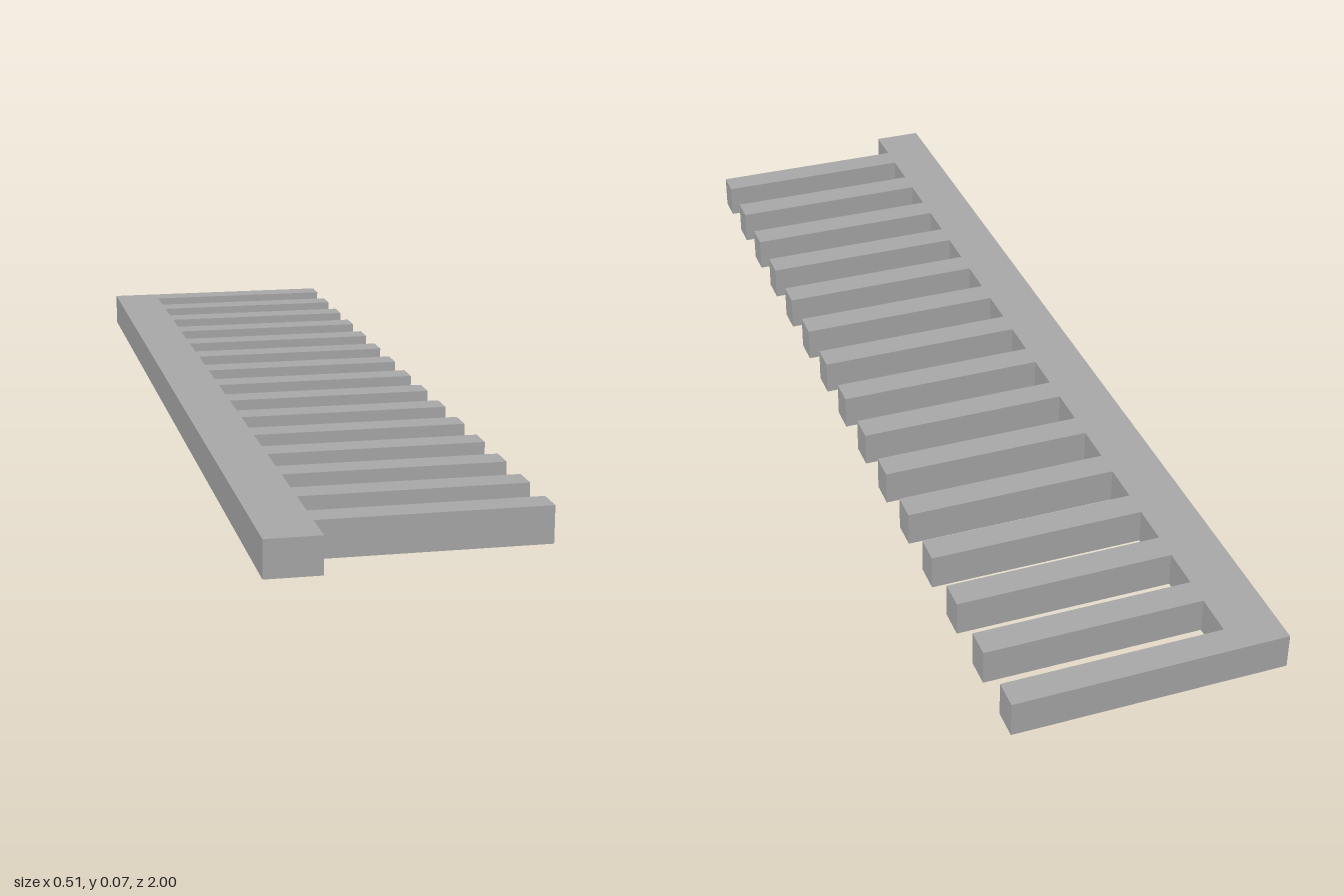
import * as THREE from 'three';

const HEIGHT = 0.0667;
const HALF_WIDTH = 0.2533; // outer x of spine and tooth tips
const SPINE_EDGE = -0.1545; // x where the teeth meet the spine
const TEETH = 15;
const PITCH = 2 / TEETH;
const TOOTH = PITCH * 0.4;

export function createModel() {
  const grey = new THREE.MeshStandardMaterial({ color: 0xaaaaaa });
  grey.name = 'grey';

  // Comb outline, seen from above (shape y points to the back, -z)
  const outline = new THREE.Shape();
  outline.moveTo(-HALF_WIDTH, -1);
  outline.lineTo(-HALF_WIDTH, 1);
  for (let i = 0; i < TEETH; i++) {
    const back = 1 - i * PITCH;
    const front = back - TOOTH;
    if (i > 0) outline.lineTo(SPINE_EDGE, back);
    outline.lineTo(HALF_WIDTH, back);
    outline.lineTo(HALF_WIDTH, front);
    outline.lineTo(SPINE_EDGE, front);
  }
  outline.lineTo(SPINE_EDGE, -1);
  outline.closePath();

  // One solid bar with a row of teeth, laid flat
  const geometry = new THREE.ExtrudeGeometry(outline, { depth: HEIGHT, bevelEnabled: false });
  geometry.rotateX(-Math.PI / 2);
  const comb = new THREE.Mesh(geometry, grey);
  comb.name = 'toothedBar';

  const model = new THREE.Group();
  model.name = 'comb';
  model.add(comb);
  return model;
}
